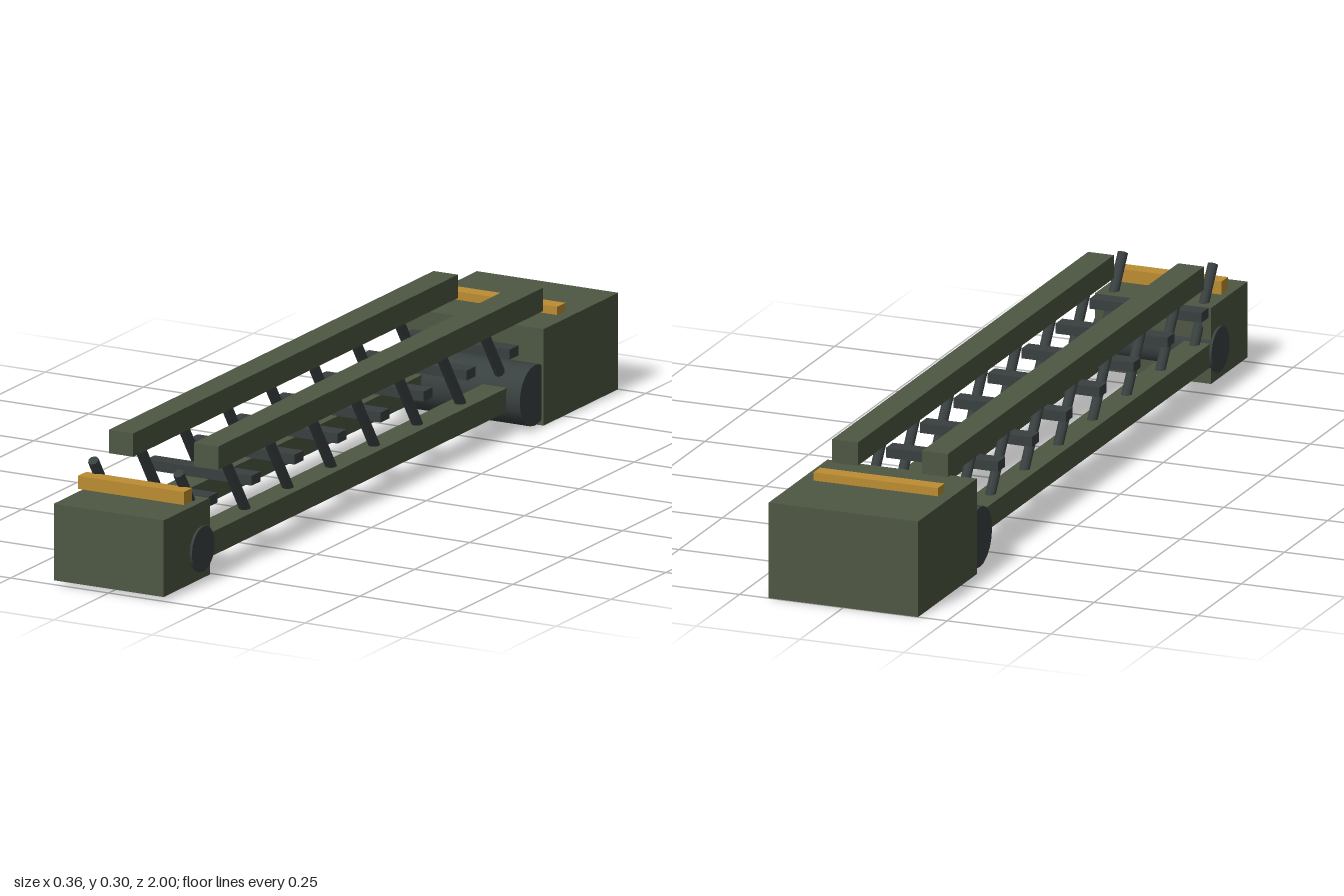
import * as THREE from 'three';

export function createModel() {
  const model = new THREE.Group();
  model.name = 'ladderConveyor';

  const paint = (name, color) => {
    const m = new THREE.MeshStandardMaterial({ color });
    m.name = name;
    return m;
  };
  const green = paint('olive green', 0x4e5743);
  const dark = paint('dark steel', 0x394040);
  const yellow = paint('warning yellow', 0xbc8d32);

  const add = (name, geometry, material, x, y, z) => {
    const mesh = new THREE.Mesh(geometry, material);
    mesh.name = name;
    mesh.position.set(x, y, z);
    model.add(mesh);
    return mesh;
  };
  // Box given by its extents on each axis
  const box = (name, material, [x0, x1], [y0, y1], [z0, z1]) =>
    add(name, new THREE.BoxGeometry(x1 - x0, y1 - y0, z1 - z0), material,
      (x0 + x1) / 2, (y0 + y1) / 2, (z0 + z1) / 2);

  // End housings
  box('rearHousing', green, [-0.18, 0.18], [0, 0.223], [-1, -0.66]);
  box('frontHousing', green, [-0.14, 0.14], [0.01, 0.187], [0.79, 1]);

  // Yellow warning bars
  box('rearWarningBar', yellow, [-0.15, 0.15], [0.212, 0.242], [-0.813, -0.775]);
  box('frontWarningBar', yellow, [-0.135, 0.135], [0.197, 0.227], [0.861, 0.899]);

  // Cross drums
  const drum = (name, r, width, y, z) => {
    const g = new THREE.CylinderGeometry(r, r, width, 20).rotateZ(Math.PI / 2);
    add(name, g, dark, 0, y, z);
  };
  drum('rearDrum', 0.07, 0.35, 0.077, -0.63);
  drum('frontDrum', 0.052, 0.292, 0.08, 0.83);

  // Side trusses: two rails and a row of slanted braces
  const braceGeometry = new THREE.CylinderGeometry(0.0125, 0.0125, 0.21, 8);
  for (const side of [-1, 1]) {
    const label = side > 0 ? 'left' : 'right';
    const xs = [side * 0.1085 - 0.031, side * 0.1085 + 0.031];
    box(label + 'LowerRail', green, xs, [0.05, 0.105], [-0.73, 0.83]);
    box(label + 'UpperRail', green, xs, [0.242, 0.296], [-0.73, 0.75]);
    for (let i = 0; i < 8; i++) {
      const brace = add(label + 'Brace' + (i + 1), braceGeometry, dark,
        side * 0.1085, 0.174, 0.817 - 0.1965 * i);
      brace.rotation.x = 0.6;
    }
  }

  // Rungs
  for (let i = 0; i < 8; i++) {
    const z = 0.766 - 0.196 * i;
    box('rung' + (i + 1), dark, [-0.135, 0.135], [0.165, 0.188], [z - 0.02, z + 0.02]);
  }

  return model;
}
